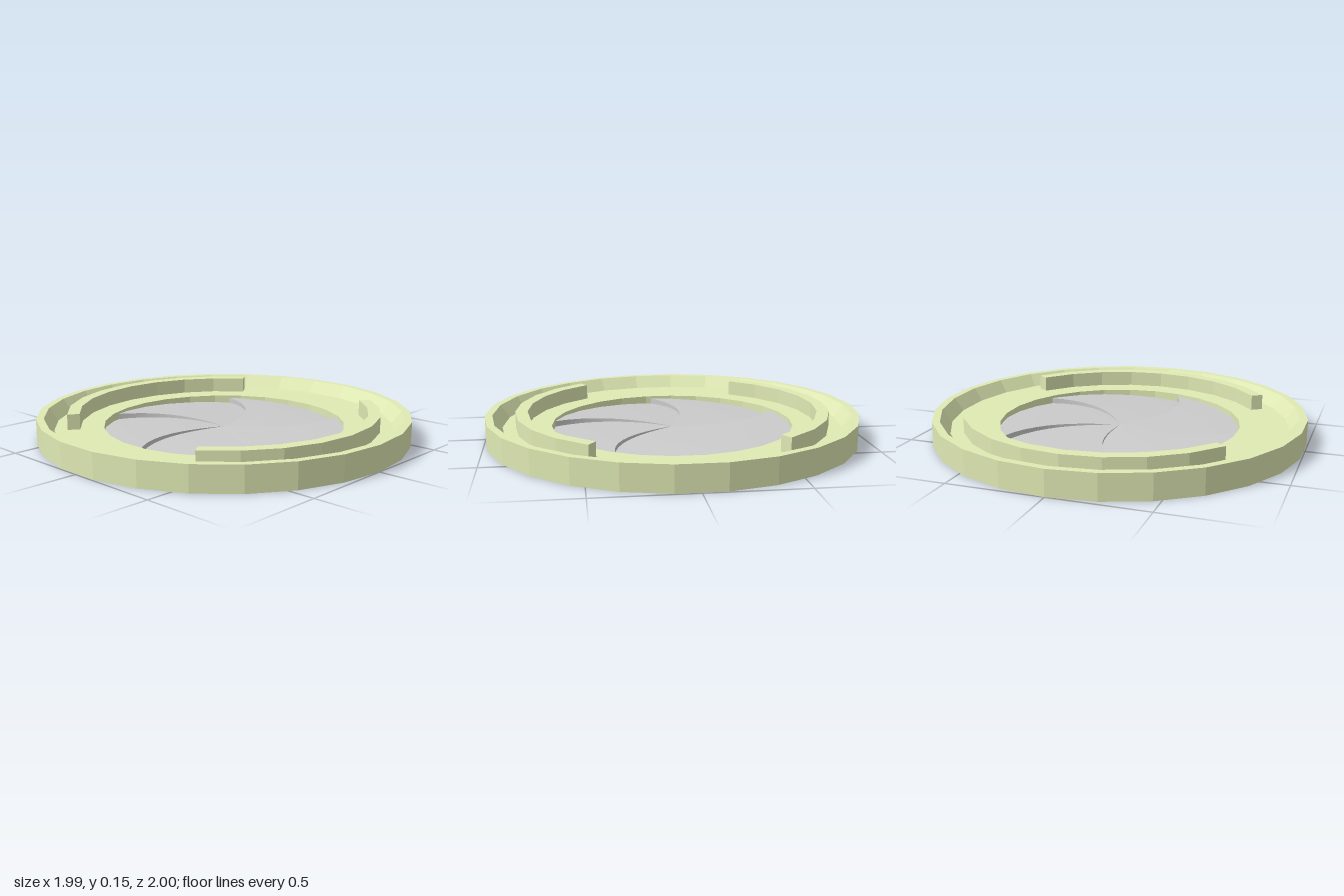
import * as THREE from 'three';
import { toCreasedNormals } from 'three/addons/utils/BufferGeometryUtils.js';

const SIDES = 26;
const FLOOR = 0.065; // level of the recessed ring between rim and iris
const STEP = (Math.PI * 2) / SIDES;

// Raised handle: a faceted arc centred on the front (+z)
function arcBar(inner, outer, top, halfSteps) {
  const pts = [];
  for (let i = -halfSteps; i <= halfSteps; i++) {
    pts.push(new THREE.Vector2(Math.sin(i * STEP) * outer, -Math.cos(i * STEP) * outer));
  }
  for (let i = halfSteps; i >= -halfSteps; i--) {
    pts.push(new THREE.Vector2(Math.sin(i * STEP) * inner, -Math.cos(i * STEP) * inner));
  }
  const geo = new THREE.ExtrudeGeometry(new THREE.Shape(pts), { depth: top - FLOOR, bevelEnabled: false });
  geo.rotateX(-Math.PI / 2);
  geo.translate(0, FLOOR, 0);
  return geo;
}

// One iris blade: a curved sector rising towards its far edge, closed by a small step
function irisBlade(radius) {
  const rings = 10, cols = 8, pos = [], index = [];
  for (let j = 0; j <= cols + 1; j++) {
    const t = Math.min(j / cols, 1);
    const lift = j > cols ? 0 : t; // the last row drops down to the next blade
    for (let i = 0; i <= rings; i++) {
      const u = i / rings;
      const angle = THREE.MathUtils.degToRad(157 + 7 * u + 21 * u * u + 72 * t);
      const y = 0.04 + u * (-0.02 + 0.031 * lift);
      pos.push(Math.cos(angle) * radius * u, y, -Math.sin(angle) * radius * u);
    }
  }
  const row = rings + 1;
  for (let j = 0; j <= cols; j++) {
    for (let i = 0; i < rings; i++) {
      const a = j * row + i, b = a + 1, c = b + row, d = a + row;
      index.push(a, b, c);
      if (i > 0) index.push(a, c, d);
    }
  }
  const geo = new THREE.BufferGeometry();
  geo.setAttribute('position', new THREE.Float32BufferAttribute(pos, 3));
  geo.setIndex(index);
  return toCreasedNormals(geo, 0.6);
}

export function createModel() {
  const model = new THREE.Group();
  const green = new THREE.MeshStandardMaterial({ color: 0xe0eab4, flatShading: true });
  const grey = new THREE.MeshStandardMaterial({ color: 0xcccccc, side: THREE.DoubleSide });
  const add = (name, geo, mat) => {
    const mesh = new THREE.Mesh(geo, mat);
    mesh.name = name;
    model.add(mesh);
    return mesh;
  };

  // Dish with closed base, outer rim, sloped inner rim and a central opening
  const profile = [[0, 0], [1, 0], [1, 0.133], [0.96, 0.133], [0.91, FLOOR], [0.65, FLOOR], [0.65, 0.004]]
    .map(([x, y]) => new THREE.Vector2(x, y));
  add('frame', new THREE.LatheGeometry(profile, SIDES), green);

  // Two facing handles
  const bar = arcBar(0.775, 0.84, 0.148, 4);
  add('frontHandle', bar, green);
  add('backHandle', bar, green).rotation.y = Math.PI;

  // Five overlapping iris blades
  const blade = irisBlade(0.655);
  for (let k = 0; k < 5; k++) {
    add('irisBlade' + (k + 1), blade, grey).rotation.y = (k * Math.PI * 2) / 5;
  }
  return model;
}
